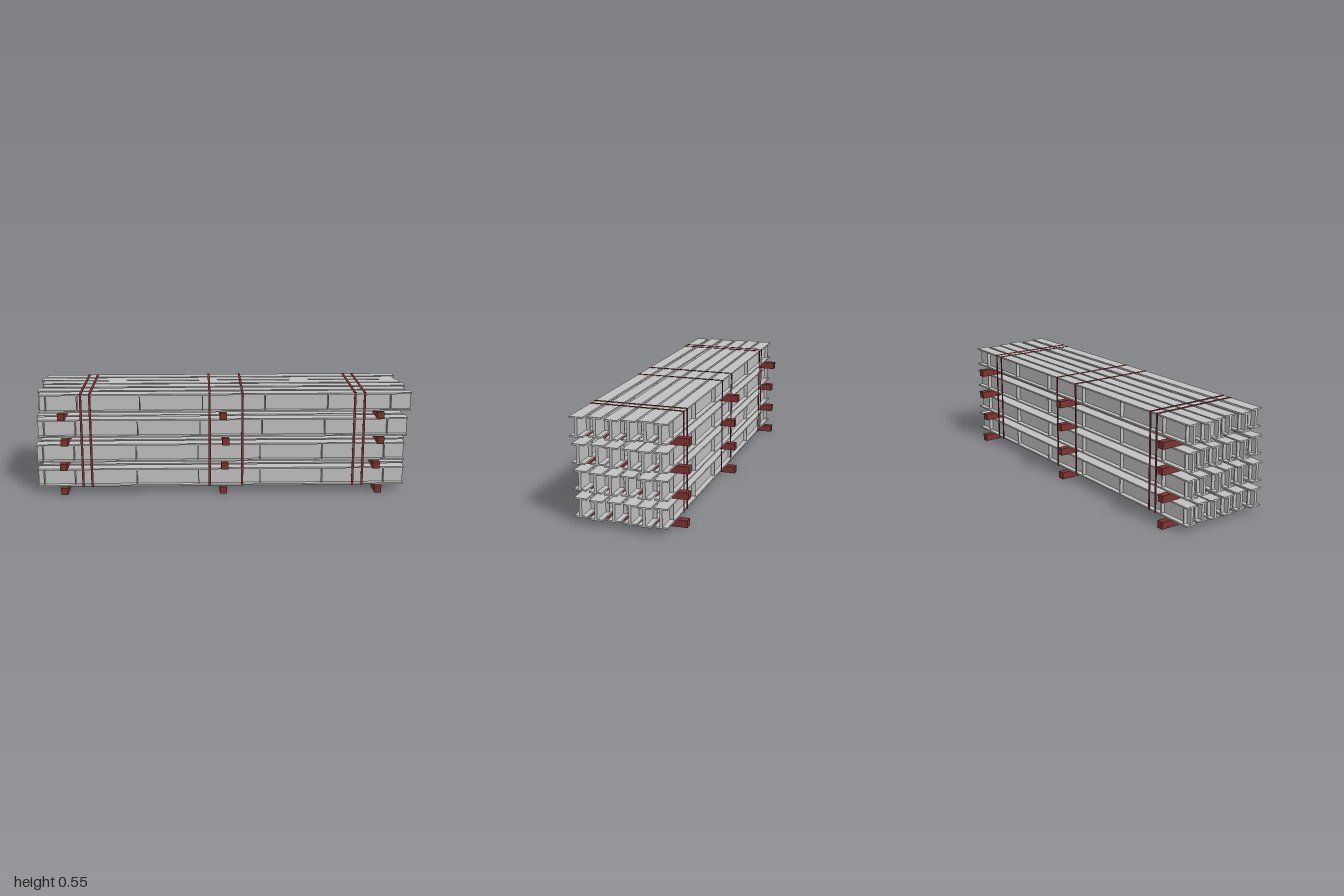
import * as THREE from 'three';

const steel = new THREE.MeshStandardMaterial({ color: 0xc0c0c0 });
steel.name = 'light grey steel';
const red = new THREE.MeshStandardMaterial({ color: 0x7d3232 });
red.name = 'dark red';

const LENGTH = 1.968, HEIGHT = 0.1, FLANGE = 0.066, FLANGE_T = 0.008, WEB = 0.014;
const TIMBER = 0.037, TIMBER_LENGTH = 0.561, PITCH = 0.1363;

function box(name, material, w, h, d, x, y, z) {
  const mesh = new THREE.Mesh(new THREE.BoxGeometry(w, h, d), material);
  mesh.name = name;
  mesh.position.set(x, y, z);
  return mesh;
}

// I-section extruded along x
function beamGeometry() {
  const f = FLANGE / 2, w = WEB / 2, t = FLANGE_T, h = HEIGHT;
  const outline = [
    [-f, 0], [f, 0], [f, t], [w, t], [w, h - t], [f, h - t],
    [f, h], [-f, h], [-f, h - t], [-w, h - t], [-w, t], [-f, t],
  ].map(([x, y]) => new THREE.Vector2(x, y));
  const geo = new THREE.ExtrudeGeometry(new THREE.Shape(outline), { depth: LENGTH, bevelEnabled: false });
  geo.translate(0, 0, -LENGTH / 2);
  geo.rotateY(Math.PI / 2);
  return geo;
}

const stiffenerX = [-0.952, -0.786, -0.455, -0.123, 0.209, 0.543, 0.877];

// Layers from bottom to top: beam z and x shift, timber x and z
const layers = [
  {
    z: [0.222, 0.137, 0.048, -0.036, -0.11, -0.19],
    shift: [-0.009, 0.004, -0.004, 0.003, 0.011, 0],
    timbers: [[-0.85, 0.004], [0, 0.004], [0.834, 0.004]],
  },
  {
    z: [0.222, 0.137, 0.058, -0.022, -0.11, -0.19],
    shift: [-0.011, 0.003, 0.008, -0.005, 0.006, -0.002],
    timbers: [[-0.85, 0.004], [0.008, 0.004], [0.82, 0.004]],
  },
  {
    z: [0.222, 0.13, 0.054, -0.037, -0.108, -0.19],
    shift: [0, -0.012, 0.004, 0.004, 0.011, 0],
    timbers: [[-0.84, 0.007], [0.013, 0.007], [0.84, -0.006]],
  },
  {
    z: [0.222, 0.137, 0.048, -0.034, -0.11, -0.19],
    shift: [0.014, -0.005, 0.012, 0, -0.016, 0],
    timbers: [[-0.855, -0.004], [0, -0.006], [0.834, -0.006]],
  },
];

export function createModel() {
  const model = new THREE.Group();
  model.name = 'beamStack';
  const section = beamGeometry();

  layers.forEach((layer, row) => {
    const y = row * PITCH;

    // Timber bearers under each layer
    for (const [x, z] of layer.timbers) {
      model.add(box('timberBearer', red, TIMBER, TIMBER, TIMBER_LENGTH, x, y + TIMBER / 2, z));
    }

    // Steel beams with stiffener plates on both sides of the web
    layer.z.forEach((z, i) => {
      const beam = new THREE.Group();
      beam.name = 'steelBeam';
      const body = new THREE.Mesh(section, steel);
      body.name = 'beamSection';
      beam.add(body);
      for (const x of stiffenerX) {
        beam.add(box('stiffener', steel, 0.006, HEIGHT - 2 * FLANGE_T, 0.053, x, HEIGHT / 2, 0));
      }
      beam.position.set(layer.shift[i], y + TIMBER, z);
      model.add(beam);
    });
  });

  // Binding straps looped round the whole bundle
  const bottom = TIMBER, top = 3 * PITCH + TIMBER + HEIGHT;
  const front = 0.255, back = -0.223, t = 0.002, width = 0.012;
  const midY = (bottom + top) / 2, midZ = (front + back) / 2;
  for (const x of [-0.751, -0.703, -0.072, 0.102, 0.698, 0.749]) {
    const strap = new THREE.Group();
    strap.name = 'bindingStrap';
    for (const y of [bottom - t / 2, top + t / 2]) {
      strap.add(box('strapAcross', red, width, t, front - back + 2 * t, x, y, midZ));
    }
    for (const z of [front + t / 2, back - t / 2]) {
      strap.add(box('strapSide', red, width, top - bottom, t, x, midY, z));
    }
    model.add(strap);
  }
  return model;
}
